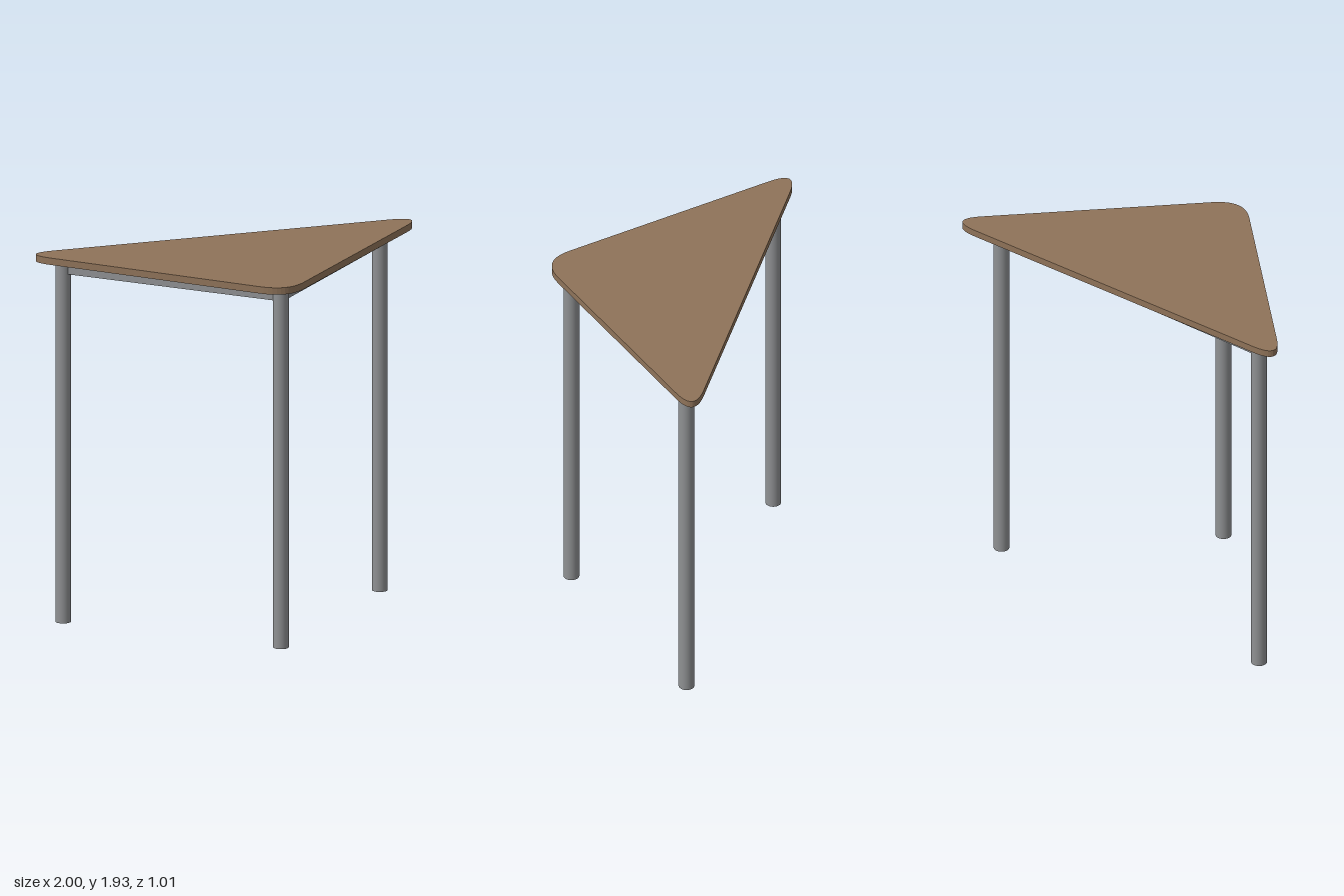
import * as THREE from 'three';

const UNDERSIDE = 1.895; // height of the top's lower face
const LEG_RADIUS = 0.04;

export function createModel() {
  const wood = new THREE.MeshStandardMaterial({ color: 0x8f7359 });
  wood.name = 'brown wood';
  const metal = new THREE.MeshStandardMaterial({ color: 0x8f9193 });
  metal.name = 'grey metal';

  const table = new THREE.Group();
  table.name = 'triangularTable';

  const add = (name, geometry, material, x, y, z) => {
    const mesh = new THREE.Mesh(geometry, material);
    mesh.name = name;
    mesh.position.set(x, y, z);
    table.add(mesh);
    return mesh;
  };

  // Table top: triangle with rounded corners, drawn with shape y = -z
  const outline = new THREE.Shape();
  outline.moveTo(-0.89, 0.51);
  outline.quadraticCurveTo(-1.078, 0.51, -0.95, 0.382);
  outline.lineTo(-0.12, -0.445);
  outline.quadraticCurveTo(0, -0.565, 0.12, -0.445);
  outline.lineTo(0.95, 0.382);
  outline.quadraticCurveTo(1.078, 0.51, 0.89, 0.51);
  outline.closePath();
  const topGeometry = new THREE.ExtrudeGeometry(outline, {
    depth: 0.036, bevelEnabled: false, curveSegments: 12,
  });
  topGeometry.rotateX(-Math.PI / 2);
  add('tableTop', topGeometry, wood, 0, UNDERSIDE, 0);

  // Legs: round tubes of slightly different lengths, with brown foot ends
  const legs = [
    { name: 'backRightLeg', x: -0.87, z: -0.427, foot: 0 },
    { name: 'frontLeg', x: 0.013, z: 0.403, foot: 0.01 },
    { name: 'backLeftLeg', x: 0.81, z: -0.4, foot: 0.02 },
  ];
  for (const { name, x, z, foot } of legs) {
    const height = UNDERSIDE - foot;
    const geometry = new THREE.CylinderGeometry(LEG_RADIUS, LEG_RADIUS, height, 32);
    add(name, geometry, [metal, metal, wood], x, foot + height / 2, z);
  }

  // Rails: flat bars joining each pair of legs just under the top
  const railNames = ['frontRightRail', 'frontLeftRail', 'backRail'];
  legs.forEach((a, i) => {
    const b = legs[(i + 1) % legs.length];
    const dx = b.x - a.x;
    const dz = b.z - a.z;
    const geometry = new THREE.BoxGeometry(Math.hypot(dx, dz), 0.06, 0.036);
    const rail = add(railNames[i], geometry, metal,
      (a.x + b.x) / 2, UNDERSIDE - 0.03, (a.z + b.z) / 2);
    rail.rotation.y = -Math.atan2(dz, dx);
  });

  return table;
}
